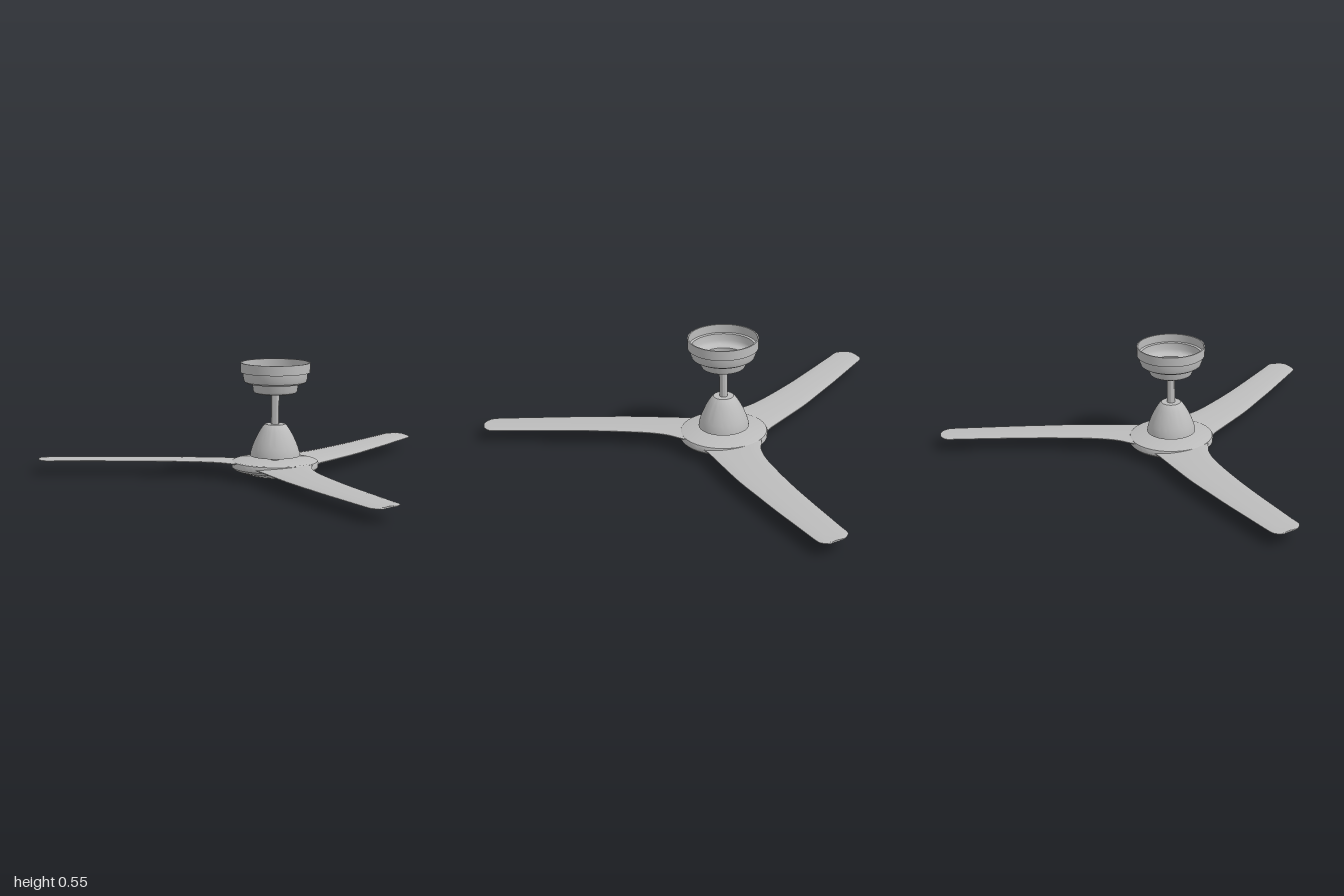
import * as THREE from 'three';
import { toCreasedNormals } from 'three/addons/utils/BufferGeometryUtils.js';

const grey = new THREE.MeshStandardMaterial({ color: 0xbcbcbc, side: THREE.DoubleSide });
grey.name = 'satin grey';

// Part turned around the vertical axis; points are [radius, y] from bottom to top
function turned(name, points, segments = 64) {
  const profile = points.map(([r, y]) => new THREE.Vector2(r, y));
  const geometry = toCreasedNormals(new THREE.LatheGeometry(profile, segments), 0.6);
  const mesh = new THREE.Mesh(geometry, grey);
  mesh.name = name;
  return mesh;
}

// Blade along -x, lofted from thin pitched sections: [reach, trailing z, leading z]
function bladeGeometry() {
  const outline = [
    [0.10, -0.165, 0.165], [0.16, -0.147, 0.122], [0.21, -0.143, 0.098],
    [0.25, -0.141, 0.08], [0.333, -0.137, 0.064], [0.48, -0.128, 0.061],
    [0.64, -0.108, 0.066], [0.78, -0.09, 0.076], [0.905, -0.071, 0.087],
    [1.03, -0.052, 0.098], [1.09, -0.042, 0.103], [1.11, -0.035, 0.09],
    [1.125, -0.018, 0.072], [1.132, 0.005, 0.05],
  ].map((p) => new THREE.Vector3(...p));
  const curve = new THREE.CatmullRomCurve3(outline);
  const rows = (outline.length - 1) * 3;
  const across = 9;
  const ring = across * 2;
  const positions = [];
  const index = [];
  for (let i = 0; i <= rows; i++) {
    const { x: reach, y: za, z: zb } = curve.getPoint(i / rows);
    const out = THREE.MathUtils.clamp((reach - 0.15) / 0.95, 0, 1);
    const mid = 0.069 - 0.006 * out;
    const pitch = 0.014 - 0.008 * out;
    const half = 0.006 - 0.002 * out;
    for (let j = 0; j < ring; j++) {
      const top = j < across;
      const u = (top ? j : ring - 1 - j) / (across - 1);
      const bulge = Math.sqrt(Math.max(0, 1 - (2 * u - 1) ** 2));
      const camber = 0.003 * bulge;
      const y = mid + pitch * (u - 0.5) + camber + (top ? 1 : -1) * half * (0.35 + 0.65 * bulge);
      positions.push(-reach, y, THREE.MathUtils.lerp(za, zb, u));
    }
  }
  for (let i = 0; i < rows; i++) {
    for (let j = 0; j < ring; j++) {
      const a = i * ring + j;
      const c = i * ring + ((j + 1) % ring);
      index.push(a, a + ring, c, c, a + ring, c + ring);
    }
  }
  // Tip cap
  const last = rows * ring;
  for (let j = 0; j < across - 1; j++) {
    const t = last + j;
    const b = last + ring - 1 - j;
    index.push(t, b, t + 1, t + 1, b, b - 1);
  }
  const geometry = new THREE.BufferGeometry();
  geometry.setAttribute('position', new THREE.Float32BufferAttribute(positions, 3));
  geometry.setIndex(index);
  return toCreasedNormals(geometry, 0.7);
}

export function createModel() {
  const fan = new THREE.Group();
  fan.name = 'ceilingFan';

  // Ceiling cup, open at the top, with stepped rounded sides
  fan.add(turned('canopy', [
    [0, 0.4], [0.09, 0.4], [0.1, 0.405], [0.105, 0.416], [0.106, 0.44],
    [0.108, 0.445], [0.132, 0.447], [0.145, 0.455], [0.15, 0.47], [0.151, 0.499],
    [0.163, 0.499], [0.163, 0.545], [0.157, 0.545], [0.157, 0.505],
    [0.145, 0.503], [0.143, 0.472], [0.137, 0.459], [0.128, 0.453],
    [0.1, 0.451], [0.1, 0.418], [0.09, 0.406], [0, 0.406],
  ]));
  fan.add(turned('rodCollar', [[0.033, 0.406], [0.033, 0.418], [0.018, 0.422]], 32));
  fan.add(turned('downRod', [
    [0, 0.08], [0.019, 0.08], [0.019, 0.43], [0.013, 0.43], [0.013, 0.41], [0, 0.41],
  ], 32));

  // Bell-shaped motor cover
  fan.add(turned('motorCover', [
    [0, 0.108], [0.112, 0.108], [0.117, 0.105], [0.115, 0.122], [0.108, 0.146],
    [0.098, 0.172], [0.085, 0.2], [0.071, 0.225], [0.057, 0.246], [0.047, 0.255], [0, 0.255],
  ]));

  // Rotor hub with a raised top plate and a separate shallow dome below
  fan.add(turned('hub', [
    [0, 0.042], [0.178, 0.042], [0.185, 0.038], [0.196, 0.043], [0.203, 0.052],
    [0.204, 0.072], [0.2, 0.08], [0.193, 0.083], [0, 0.084],
  ], 96));
  fan.add(turned('hubDome', [
    [0, 0], [0.04, 0.001], [0.08, 0.006], [0.115, 0.014], [0.145, 0.023],
    [0.166, 0.031], [0.173, 0.036], [0.173, 0.044],
  ], 96));

  // Three blades
  const shape = bladeGeometry();
  for (let i = 0; i < 3; i++) {
    const blade = new THREE.Mesh(shape, grey);
    blade.name = `blade${i + 1}`;
    blade.rotation.y = (i * Math.PI * 2) / 3;
    fan.add(blade);
  }

  // The uneven blade spread leaves the axis off centre
  fan.position.set(0.246, 0, 0.01);
  const model = new THREE.Group();
  model.name = 'model';
  model.add(fan);
  return model;
}
